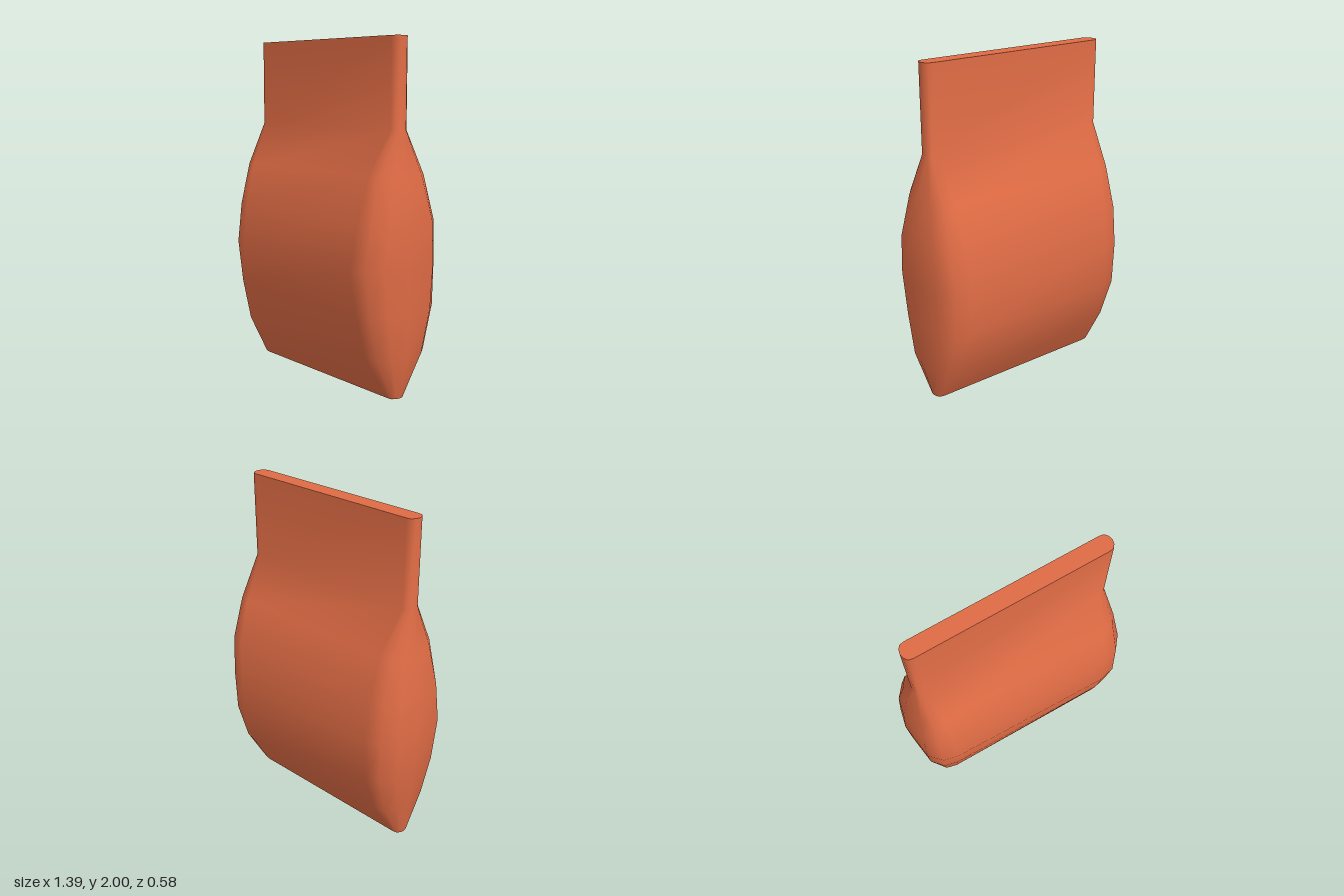
import * as THREE from 'three';

// Rings: height, reach to -x, reach to +x, front depth, back depth
const RINGS = [
  [0, 0.6, 0.6, 0.05, 0.05],
  [0.25, 0.645, 0.665, 0.2, 0.2],
  [0.5, 0.685, 0.68, 0.255, 0.28],
  [0.76, 0.7, 0.69, 0.295, 0.29],
  [1, 0.685, 0.695, 0.26, 0.265],
  [1.25, 0.645, 0.655, 0.19, 0.19],
  [1.5, 0.6, 0.6, 0.05, 0.05],
  [2, 0.6, 0.6, 0.05, 0.05],
];

// Corner shape as fractions of reach and depth: [thin x, thin z, full x, full z]
const CORNER = [
  [0.92, 1, 0.72, 1],
  [0.965, 0.9, 0.86, 0.92],
  [0.99, 0.5, 0.96, 0.64],
];

// One cross-section, running from front right round to the back and left
function crossSection([y, left, right, front, back]) {
  const fill = Math.min(1, (front - 0.05) / 0.24);
  const corner = (sx, sz) => CORNER.map(([tx, tz, fx, fz]) => {
    const x = sx * (sx > 0 ? right : left) * THREE.MathUtils.lerp(tx, fx, fill);
    const slack = sx < 0 ? 1 - (sz > 0 ? 0.1 : 0.04) * fill : 1;
    const z = sz * (sz > 0 ? front : back) * THREE.MathUtils.lerp(tz, fz, fill) * slack;
    return new THREE.Vector3(x, y, z);
  });
  return [
    ...corner(1, 1), new THREE.Vector3(right, y, -0.0 + 0.03 * fill),
    ...corner(1, -1).reverse(),
    ...corner(-1, -1), new THREE.Vector3(-left, y, -0.06 * fill),
    ...corner(-1, 1).reverse(),
  ];
}

// Smooth skin through all the cross-sections
function loft(sections) {
  const n = sections[0].length;
  const index = [];
  for (let i = 0; i < sections.length - 1; i++) {
    for (let j = 0; j < n; j++) {
      const a = i * n + j, b = i * n + (j + 1) % n;
      index.push(a, b, b + n, a, b + n, a + n);
    }
  }
  const geometry = new THREE.BufferGeometry().setFromPoints(sections.flat());
  geometry.setIndex(index);
  geometry.computeVertexNormals();
  return geometry;
}

// Flat end closing one cross-section
function endCap(section, up) {
  const index = [];
  for (let j = 1; j < section.length - 1; j++) {
    index.push(0, ...(up ? [j, j + 1] : [j + 1, j]));
  }
  const geometry = new THREE.BufferGeometry().setFromPoints(section);
  geometry.setIndex(index);
  geometry.computeVertexNormals();
  return geometry;
}

export function createModel() {
  const group = new THREE.Group();
  group.name = 'pouch';
  const material = new THREE.MeshStandardMaterial({ color: 0xe06c45 });
  material.name = 'orange';

  const add = (name, geometry) => {
    const mesh = new THREE.Mesh(geometry, material);
    mesh.name = name;
    group.add(mesh);
  };

  const sections = RINGS.map(crossSection);
  add('pouchBody', loft(sections));
  add('topEdge', endCap(sections[sections.length - 1], true));
  add('bottomEdge', endCap(sections[0], false));
  return group;
}
